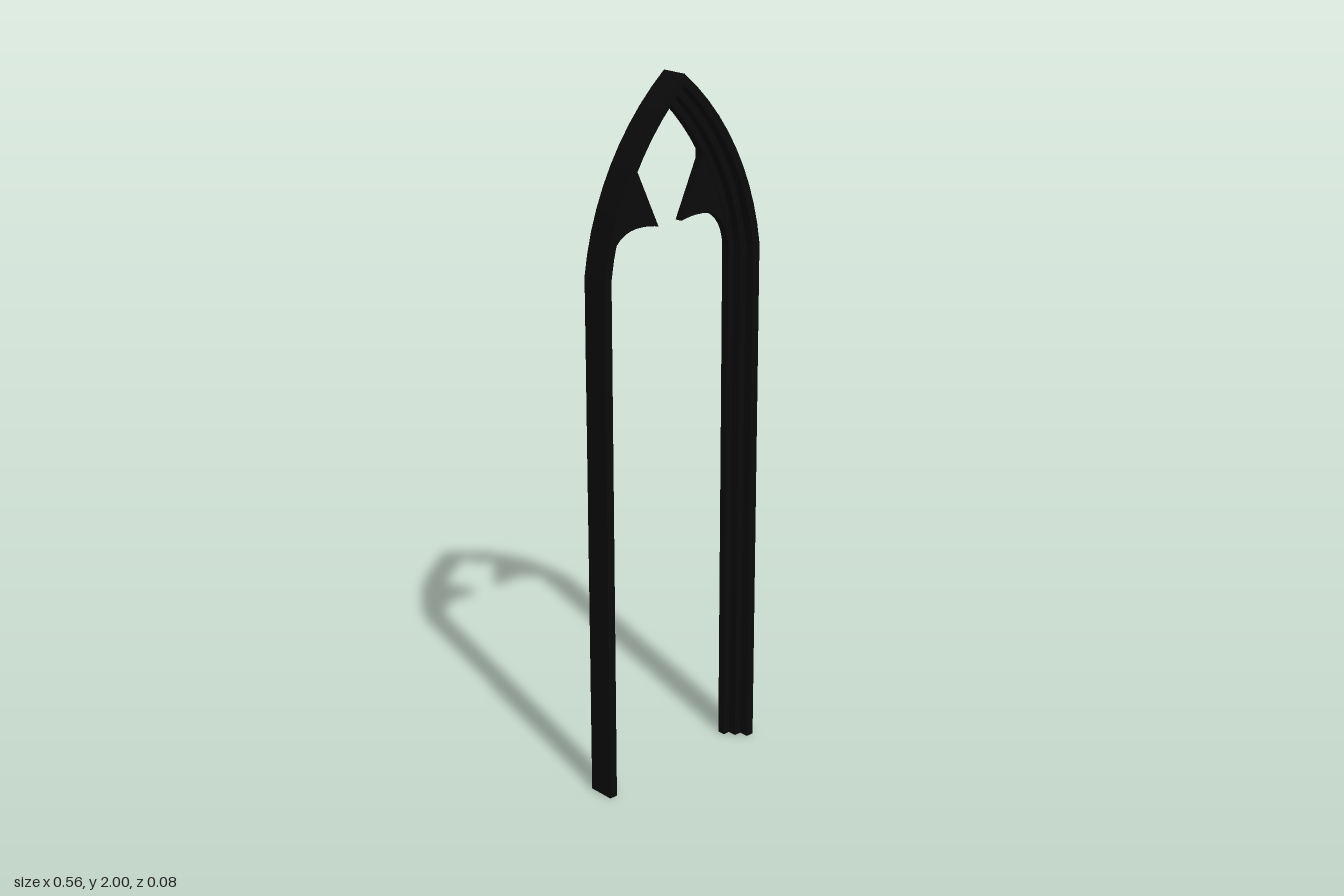
import * as THREE from 'three';

const SPRING = 1.5;                    // height where the legs turn into the arch
const CX = -0.487, CY = 1.399;         // centre of the arc on the +x side
const R_OUT = 0.774, R_IN = 0.709;     // outer and inner arc radii
const D = 0.039;                       // half depth
const SEGMENTS = 10;

// Stepped moulding, open at the back: [distance in from the outer edge, z]
const PROFILE = [
  [0, -D], [0, D], [0.024, D], [0.024, 0.011], [0.045, 0.011],
  [0.045, -0.015], [R_OUT - R_IN, -0.015], [R_OUT - R_IN, -D],
];

// Points of the arc with radius r, from the springing to the centre line
function arcPoints(r, n = SEGMENTS) {
  const a0 = Math.asin((SPRING - CY) / r), a1 = Math.acos(-CX / r);
  return Array.from({ length: n + 1 }, (_, i) => {
    const a = a0 + (a1 - a0) * i / n;
    return new THREE.Vector2(CX + r * Math.cos(a), CY + r * Math.sin(a));
  });
}

// One leg and its half of the arch, swept from the moulding profile
function halfFrame(side) {
  const rails = PROFILE.map(([inset, z]) => {
    const arc = arcPoints(R_OUT - inset);
    return [new THREE.Vector2(arc[0].x, 0), ...arc]
      .map(p => [side * p.x, p.y, z]);
  });
  const pos = [];
  const tri = (a, b, c) => pos.push(...a, ...(side > 0 ? b : c), ...(side > 0 ? c : b));
  for (let j = 0; j < rails.length - 1; j++) {
    for (let k = 0; k < rails[j].length - 1; k++) {
      const a = rails[j][k], b = rails[j][k + 1];
      const c = rails[j + 1][k], d = rails[j + 1][k + 1];
      tri(a, b, c);
      tri(c, b, d);
    }
  }
  const geo = new THREE.BufferGeometry();
  geo.setAttribute('position', new THREE.Float32BufferAttribute(pos, 3));
  geo.computeVertexNormals();
  return geo;
}

// Pointed tracery plate set in the rearmost step
function cuspPlate(side) {
  const lower = new THREE.SplineCurve([
    [0.041, 1.595], [0.085, 1.602], [0.135, 1.6], [0.175, 1.582], [0.203, 1.545], [0.215, 1.5],
  ].map(p => new THREE.Vector2(...p))).getPoints(12);
  const outer = arcPoints(R_IN + 0.002, 20).filter(p => p.y < 1.785);
  const upper = [[0.113, 1.775], [0.114, 1.752]].map(p => new THREE.Vector2(...p));
  const points = [...lower, ...outer, ...upper].map(p => new THREE.Vector2(side * p.x, p.y));
  const geo = new THREE.ExtrudeGeometry(new THREE.Shape(points), {
    depth: 0.022, bevelEnabled: false,
  });
  geo.translate(0, 0, -D);
  return geo;
}

export function createModel() {
  const group = new THREE.Group();
  group.name = 'pointedWindowFrame';
  const stone = new THREE.MeshStandardMaterial({
    color: 0x0a0a0a, side: THREE.DoubleSide, flatShading: true,
  });
  for (const side of [1, -1]) {
    const label = side > 0 ? 'left' : 'right';
    const frame = new THREE.Mesh(halfFrame(side), stone);
    frame.name = label + 'FrameMoulding';
    const cusp = new THREE.Mesh(cuspPlate(side), stone);
    cusp.name = label + 'Cusp';
    group.add(frame, cusp);
  }
  return group;
}
